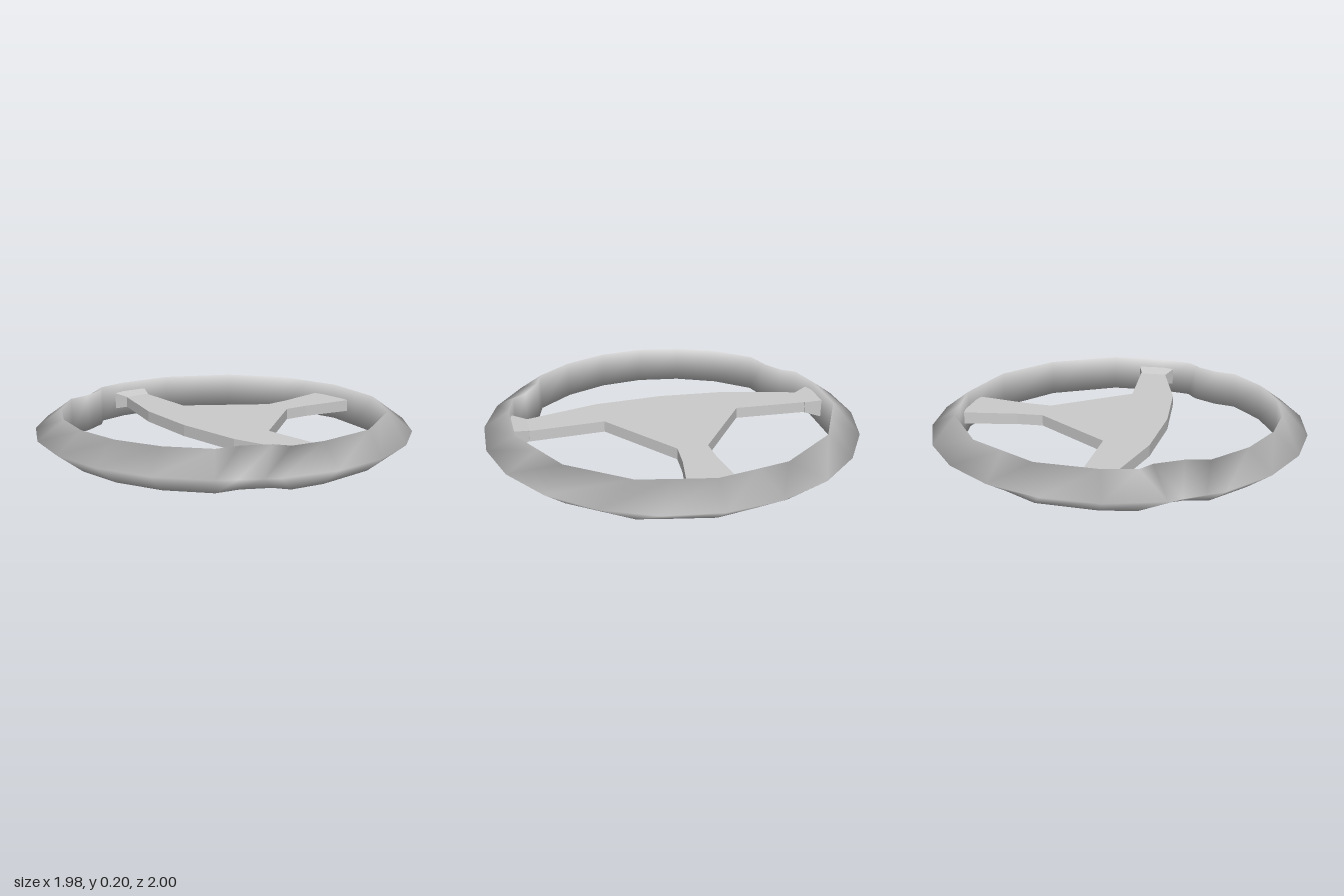
import * as THREE from 'three';
import { ConvexGeometry } from 'three/addons/geometries/ConvexGeometry.js';

const SIDES = 22, TOP = 0.205, MID = 0.105;
const grey = new THREE.MeshStandardMaterial({ color: 0xcccccc });
grey.name = 'grey';

// point on the outer 22-sided outline, k counted from the back towards +x
function outerAt(k) {
  const corner = (i) => {
    const a = (i / SIDES) * Math.PI * 2;
    return new THREE.Vector2(Math.sin(a), -Math.cos(a));
  };
  const i = Math.floor(k);
  return corner(i).lerp(corner(i + 1), k - i);
}

// rim: triangular section swept round, with thumb grips on the inner wall
function rimGeometry() {
  // [outer position k, inner x, inner z] for the +x half
  const half = [
    [0, 0, -0.865], [1, 0.2, -0.825], [2, 0.363, -0.79], [3, 0.655, -0.57],
    [4, 0.75, -0.39], [5, 0.845, -0.21], [6, 0.855, 0.1], [7, 0.82, 0.27],
    [7.25, 0.75, 0.32], [7.65, 0.675, 0.45], [8, 0.647, 0.568],
    [9, 0.465, 0.727], [10, 0.24, 0.83], [11, 0, 0.865],
  ];
  const stations = half.map(([k, x, z]) => ({ o: outerAt(k), x, z }));
  for (const s of stations.slice(1, -1).reverse()) {
    stations.push({ o: new THREE.Vector2(-s.o.x, s.o.y), x: -s.x, z: s.z });
  }
  const pos = [], index = [], n = stations.length;
  stations.forEach(({ o, x, z }, i) => {
    pos.push(o.x, MID, o.y, x, TOP, z, x, 0, z);
    const a = i * 3, b = ((i + 1) % n) * 3;
    for (let j = 0; j < 3; j++) {
      const m = (j + 1) % 3;
      index.push(a + j, a + m, b + j, a + m, b + m, b + j);
    }
  });
  const g = new THREE.BufferGeometry();
  g.setAttribute('position', new THREE.Float32BufferAttribute(pos, 3));
  g.setIndex(index);
  g.computeVertexNormals();
  return g;
}

// flat centre plate with two side arms and one back arm
function plateGeometry() {
  const outline = [
    [0, 0.265], [0.375, 0.237], [0.765, 0.127], [0.765, -0.025], [0.367, 0],
    [0.07, -0.405], [0.08, -0.545], [-0.095, -0.545], [-0.088, -0.405],
    [-0.37, 0], [-0.765, -0.015], [-0.765, 0.132], [-0.375, 0.237],
  ];
  const shape = new THREE.Shape(outline.map(([x, z]) => new THREE.Vector2(x, -z)));
  const g = new THREE.ExtrudeGeometry(shape, { depth: 0.06, bevelEnabled: false });
  return g.rotateX(-Math.PI / 2).translate(0, 0.075, 0);
}

// flared end of an arm, from a narrow edge to a wide edge: [x1, z1, x2, z2, bottom, top]
function flareGeometry(...edges) {
  const points = edges.flatMap(([x1, z1, x2, z2, low, high]) =>
    [low, high].flatMap((y) => [new THREE.Vector3(x1, y, z1), new THREE.Vector3(x2, y, z2)]));
  return new ConvexGeometry(points);
}

export function createModel() {
  const group = new THREE.Group();
  group.name = 'steeringWheel';
  const add = (name, geometry) => {
    const mesh = new THREE.Mesh(geometry, grey);
    mesh.name = name;
    group.add(mesh);
  };
  add('rim', rimGeometry());
  add('centrePlate', plateGeometry());
  add('backArmEnd', flareGeometry(
    [-0.095, -0.545, 0.08, -0.545, 0.075, 0.135],
    [-0.14, -0.85, 0.13, -0.85, 0.07, 0.135]));
  for (const [side, name] of [[1, 'leftArmEnd'], [-1, 'rightArmEnd']]) {
    add(name, flareGeometry(
      [side * 0.765, -0.02, side * 0.765, 0.13, 0.075, 0.135],
      [side * 0.865, -0.055, side * 0.865, 0.175, 0.05, 0.155]));
  }
  return group;
}
